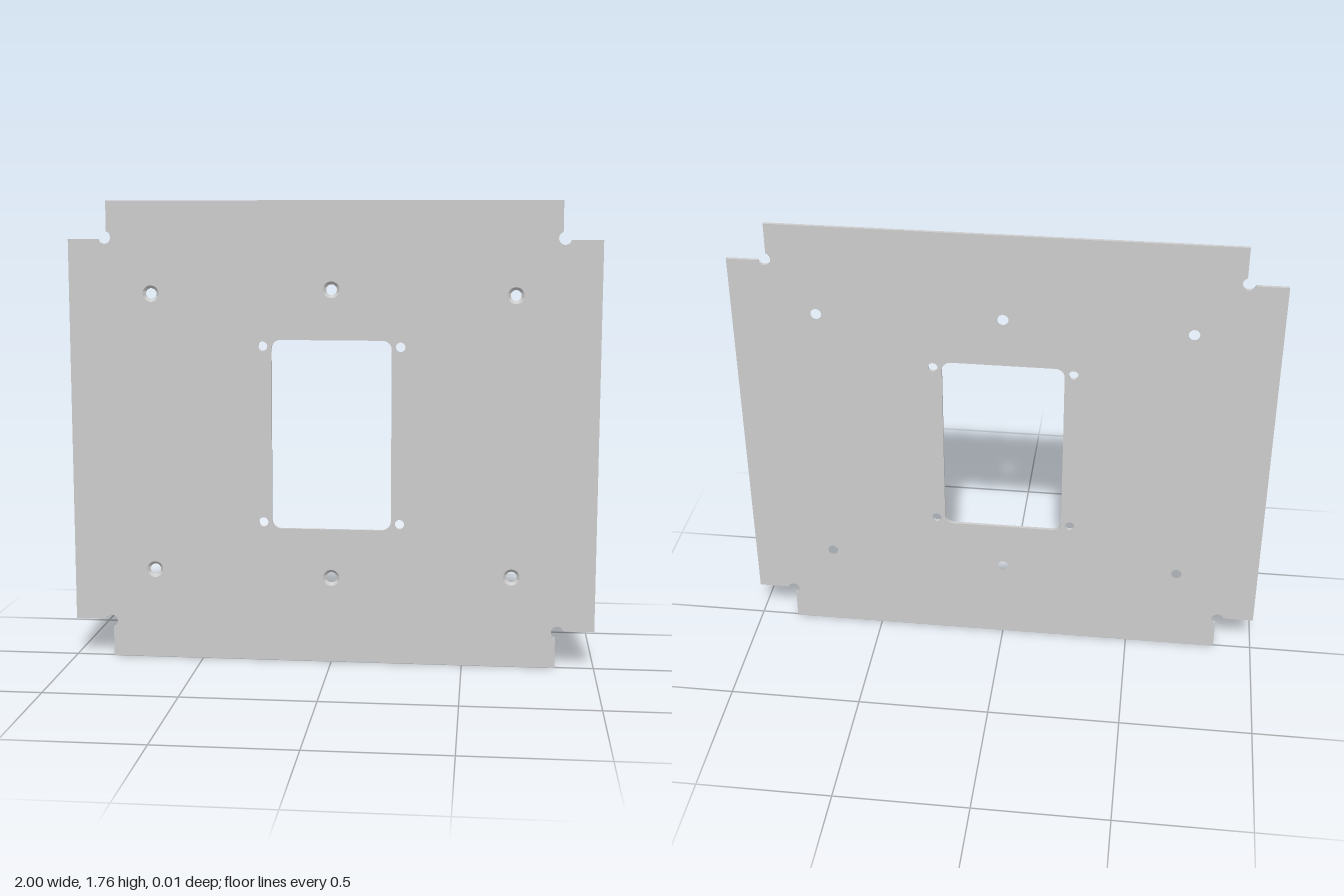
import * as THREE from 'three';
import { toCreasedNormals } from 'three/addons/utils/BufferGeometryUtils.js';

const T = 0.012;          // plate thickness
const CY = 0.88;          // height of the plate's centre
const SINK_R = 0.031, BORE_R = 0.02;

// One corner of the outline: square notch with a round relief cut at its inner corner
function notchedCorner(sx, sy) {
  const nx = 0.853, ny = 0.736, cx = 0.861, cy = 0.742, r = 0.024;
  const from = 2 * Math.PI + Math.asin((ny - cy) / r);
  const to = Math.acos((nx - cx) / r);
  const pts = [[1, ny]];
  for (let i = 0; i <= 20; i++) {
    const a = from + (to - from) * i / 20;
    pts.push([cx + r * Math.cos(a), cy + r * Math.sin(a)]);
  }
  pts.push([nx, CY]);
  if (sx * sy < 0) pts.reverse();
  return pts.map(([x, y]) => new THREE.Vector2(sx * x, sy * y));
}

function circle(x, y, r) {
  return new THREE.Path().absarc(x, y, r, 0, 2 * Math.PI, true);
}

// Rectangular window with rounded corners
function roundedWindow(w, h, r) {
  const p = new THREE.Path();
  p.absarc(w - r, h - r, r, 0, Math.PI / 2);
  p.absarc(r - w, h - r, r, Math.PI / 2, Math.PI);
  p.absarc(r - w, r - h, r, Math.PI, 1.5 * Math.PI);
  p.absarc(w - r, r - h, r, 1.5 * Math.PI, 2 * Math.PI);
  p.closePath();
  return p;
}

export function createModel() {
  const model = new THREE.Group();
  model.name = 'mountingPlate';
  const material = new THREE.MeshStandardMaterial({ color: 0xcccccc });

  // Plate outline and its cutouts
  const outline = new THREE.Shape([[1, 1], [-1, 1], [-1, -1], [1, -1]]
    .flatMap(([sx, sy]) => notchedCorner(sx, sy)));
  outline.holes.push(roundedWindow(0.227, 0.361, 0.035));

  const screwHoles = [];
  for (const sy of [-1, 1]) {
    for (const sx of [-1, 1]) {
      outline.holes.push(circle(sx * 0.26, sy * 0.337, 0.018));
      screwHoles.push([sx * 0.685, sy * 0.532]);
    }
    screwHoles.push([0, sy * 0.55]);
  }
  for (const [x, y] of screwHoles) outline.holes.push(circle(x, y, SINK_R));

  const plateGeometry = new THREE.ExtrudeGeometry(outline, { depth: T, bevelEnabled: false, curveSegments: 16 });
  plateGeometry.translate(0, CY, -T / 2);
  const plate = new THREE.Mesh(toCreasedNormals(plateGeometry, 0.6), material);
  plate.name = 'plate';
  model.add(plate);

  // Countersunk seats, wide at the front and narrowing to the bore at the back
  const profile = [[SINK_R, T / 2], [BORE_R, -T / 2], [SINK_R, -T / 2]].map(([r, y]) => new THREE.Vector2(r, y));
  const seatGeometry = toCreasedNormals(new THREE.LatheGeometry(profile, 32).rotateX(Math.PI / 2), 0.6);
  for (const [x, y] of screwHoles) {
    const seat = new THREE.Mesh(seatGeometry, material);
    seat.name = 'countersink';
    seat.position.set(x, CY + y, 0);
    model.add(seat);
  }
  return model;
}
